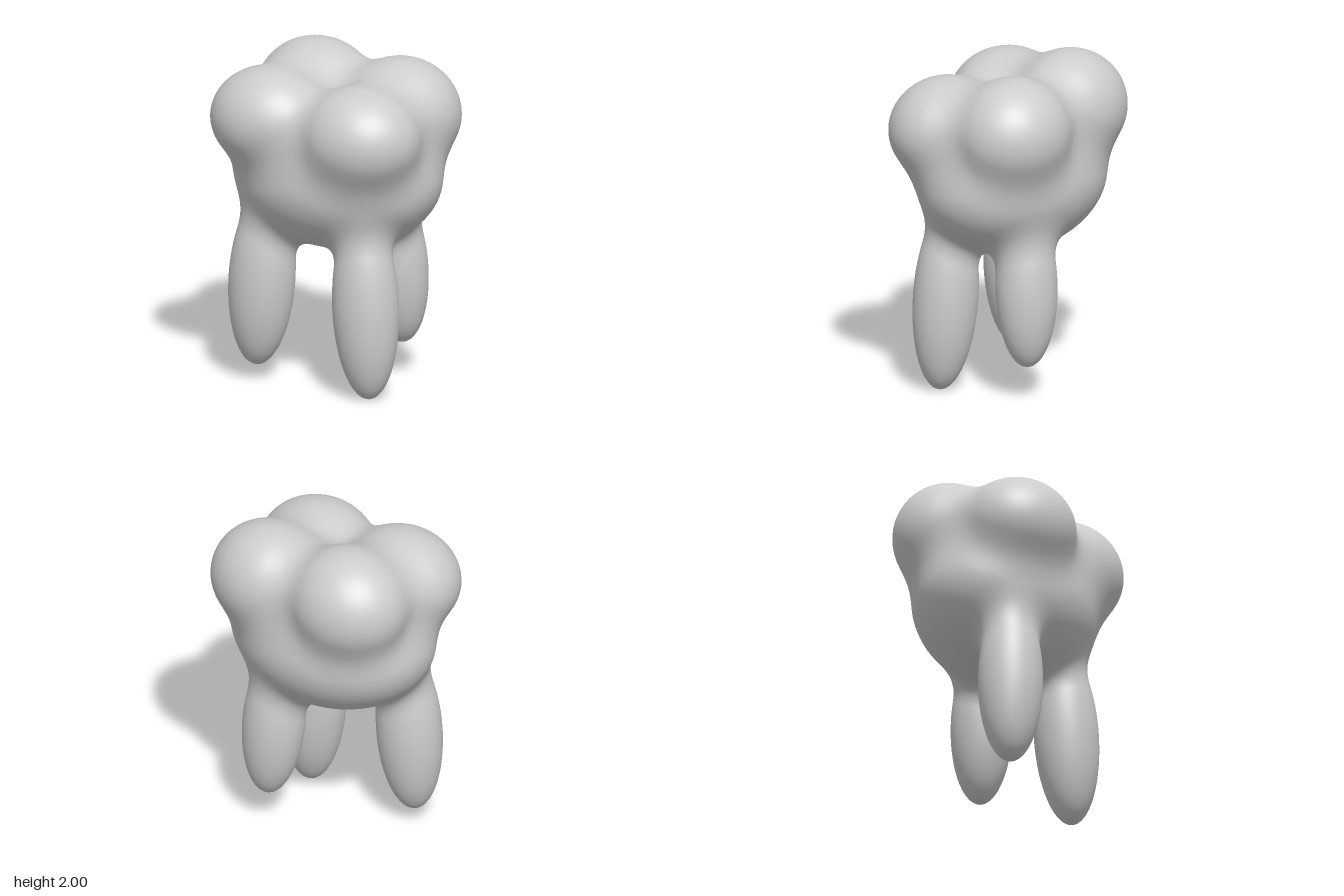
import * as THREE from 'three';

// Rounded lumps: centre, radii, sideways lean per unit of height (x, z)
const cusps = [
  { c: [-0.31, 1.62, 0.23], r: [0.37, 0.31, 0.335] },
  { c: [0.31, 1.585, 0.23], r: [0.37, 0.315, 0.335] },
  { c: [-0.285, 1.66, -0.23], r: [0.37, 0.34, 0.335] },
  { c: [0.3, 1.63, -0.235], r: [0.365, 0.335, 0.335] },
];
const body = { c: [0, 1.28, -0.015], r: [0.655, 0.45, 0.52] };
const roots = [
  { c: [-0.385, 0.62, 0.215], r: [0.2, 0.53, 0.19], lean: [0.05, -0.02] },
  { c: [0.34, 0.56, 0.22], r: [0.2, 0.56, 0.19], lean: [-0.055, -0.03] },
  { c: [0.235, 0.68, -0.285], r: [0.19, 0.48, 0.18], lean: [-0.05, 0.05] },
];

// Approximate signed distance to a leaning ellipsoid
function lump({ c, r, lean = [0, 0] }, x, y, z) {
  const dy = y - c[1];
  const dx = (x - c[0] - lean[0] * dy) / r[0];
  const dz = (z - c[2] - lean[1] * dy) / r[2];
  const ey = dy / r[1];
  const k0 = Math.hypot(dx, ey, dz);
  const k1 = Math.hypot(dx / r[0], ey / r[1], dz / r[2]);
  return k1 < 1e-6 ? -Math.min(...r) : (k0 * (k0 - 1)) / k1;
}

// Union with a soft fillet of width k
function blend(a, b, k) {
  const h = Math.max(k - Math.abs(a - b), 0);
  return Math.min(a, b) - (h * h) / (4 * k);
}

function field(x, y, z) {
  const crown = cusps.map((s) => lump(s, x, y, z)).reduce((a, b) => blend(a, b, 0.17));
  let base = lump(body, x, y, z);
  for (const s of roots) base = blend(base, lump(s, x, y, z), 0.14);
  return blend(crown, base, 0.14);
}

function gradient(x, y, z) {
  const e = 0.002;
  return new THREE.Vector3(
    field(x + e, y, z) - field(x - e, y, z),
    field(x, y + e, z) - field(x, y - e, z),
    field(x, y, z + e) - field(x, y, z - e),
  ).divideScalar(2 * e);
}

// Quad skin over the blended volume: one vertex per crossed cell, pulled onto the surface
function skin(min, max, step) {
  const n = [0, 1, 2].map((i) => Math.ceil((max[i] - min[i]) / step) + 1);
  const stride = [1, n[0], n[0] * n[1]];
  const at = (i, j, k) => i + j * stride[1] + k * stride[2];
  const values = new Float32Array(n[0] * n[1] * n[2]);
  for (let k = 0; k < n[2]; k++)
    for (let j = 0; j < n[1]; j++)
      for (let i = 0; i < n[0]; i++)
        values[at(i, j, k)] = field(min[0] + i * step, min[1] + j * step, min[2] + k * step);

  const positions = [], normals = [], indices = [];
  const cell = new Int32Array(values.length).fill(-1);
  for (let k = 0; k < n[2] - 1; k++)
    for (let j = 0; j < n[1] - 1; j++)
      for (let i = 0; i < n[0] - 1; i++) {
        const id = at(i, j, k);
        let inside = 0;
        for (let q = 0; q < 8; q++)
          if (values[id + (q & 1) + ((q >> 1) & 1) * stride[1] + (q >> 2) * stride[2]] < 0) inside++;
        if (inside === 0 || inside === 8) continue;
        const p = new THREE.Vector3(i + 0.5, j + 0.5, k + 0.5).multiplyScalar(step);
        p.add(new THREE.Vector3(...min));
        for (let t = 0; t < 4; t++) {
          const g = gradient(p.x, p.y, p.z);
          p.addScaledVector(g, -field(p.x, p.y, p.z) / Math.max(g.lengthSq(), 0.1));
        }
        cell[id] = positions.length / 3;
        positions.push(p.x, p.y, p.z);
        normals.push(...gradient(p.x, p.y, p.z).normalize().toArray());
      }

  // Join the four cells around every crossed grid edge
  for (let k = 1; k < n[2] - 1; k++)
    for (let j = 1; j < n[1] - 1; j++)
      for (let i = 1; i < n[0] - 1; i++) {
        const id = at(i, j, k);
        for (let axis = 0; axis < 3; axis++) {
          const inside = values[id] < 0;
          if (inside === values[id + stride[axis]] < 0) continue;
          const u = stride[(axis + 1) % 3], v = stride[(axis + 2) % 3];
          const [a, b, c, d] = [id - u - v, id - v, id, id - u].map((q) => cell[q]);
          if (inside) indices.push(a, b, c, a, c, d);
          else indices.push(a, c, b, a, d, c);
        }
      }

  const geometry = new THREE.BufferGeometry();
  geometry.setAttribute('position', new THREE.Float32BufferAttribute(positions, 3));
  geometry.setAttribute('normal', new THREE.Float32BufferAttribute(normals, 3));
  geometry.setIndex(indices);
  return geometry;
}

export function createModel() {
  const group = new THREE.Group();
  group.name = 'molar';
  const enamel = new THREE.MeshStandardMaterial({ color: 0xcccccc });
  enamel.name = 'enamel';
  // Crown, body and three roots flow together as one smooth surface
  const tooth = new THREE.Mesh(skin([-0.78, -0.06, -0.66], [0.78, 2.08, 0.66], 0.025), enamel);
  tooth.name = 'tooth';
  group.add(tooth);
  return group;
}
